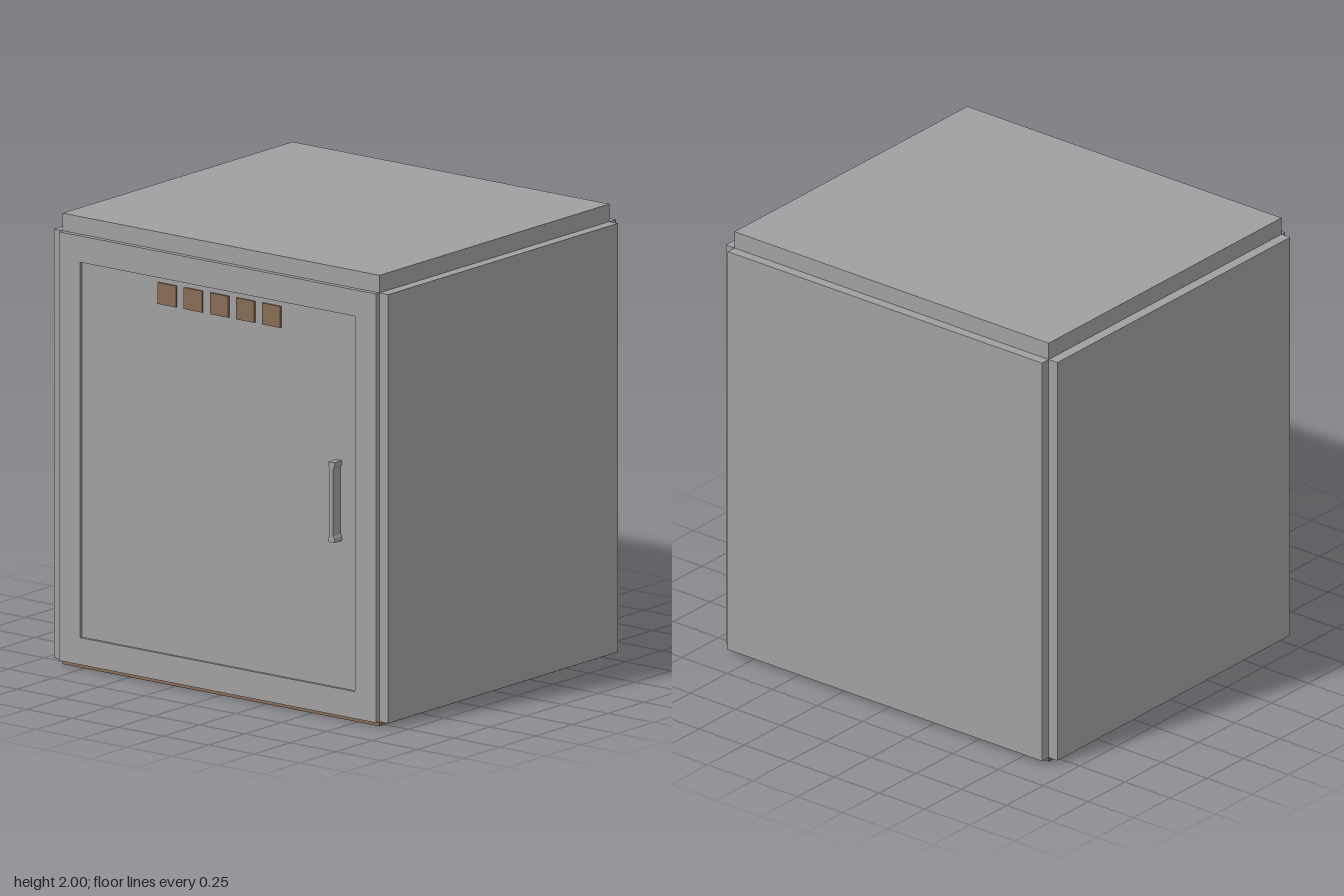
import * as THREE from 'three';

export function createModel() {
  const model = new THREE.Group();
  model.name = 'cabinet';

  const grey = new THREE.MeshStandardMaterial({ color: 0xa0a0a2 });
  grey.name = 'grey metal';
  const brown = new THREE.MeshStandardMaterial({ color: 0x866c55 });
  brown.name = 'brown';

  // Box given by its minimum and maximum corners
  const box = (name, material, [x0, y0, z0], [x1, y1, z1], parent = model) => {
    const mesh = new THREE.Mesh(new THREE.BoxGeometry(x1 - x0, y1 - y0, z1 - z0), material);
    mesh.position.set((x0 + x1) / 2, (y0 + y1) / 2, (z0 + z1) / 2);
    mesh.name = name;
    parent.add(mesh);
    return mesh;
  };

  const W = 0.87, OUT = 0.918, BACK = -0.802, FRONT = 0.786;
  const LOW = 0.02, HIGH = 1.922;

  // Core block, which rises above the panels as the top slab
  box('body', grey, [-W, LOW, BACK], [W, 2, FRONT]);
  box('base', brown, [-W, 0, BACK], [W, LOW, FRONT]);

  // Outer panels with open corner notches between them
  box('leftPanel', grey, [W, LOW, BACK], [OUT, HIGH, FRONT]);
  box('rightPanel', grey, [-OUT, LOW, BACK], [-W, HIGH, FRONT]);
  box('backPanel', grey, [-W, LOW, -0.848], [W, HIGH, BACK]);

  // Front frame around the door opening
  const rect = (path, x0, y0, x1, y1) =>
    path.moveTo(x0, y0).lineTo(x1, y0).lineTo(x1, y1).lineTo(x0, y1).closePath();
  const outline = new THREE.Shape();
  rect(outline, -W, LOW, W, HIGH);
  const opening = new THREE.Path();
  rect(opening, -0.755, 0.14, 0.755, 1.805);
  outline.holes.push(opening);
  const frame = new THREE.Mesh(
    new THREE.ExtrudeGeometry(outline, { depth: 0.024, bevelEnabled: false }), grey);
  frame.position.z = FRONT;
  frame.name = 'frontFrame';
  model.add(frame);

  // Slightly recessed door
  box('door', grey, [-0.755, 0.14, FRONT], [0.755, 1.805, 0.798]);

  // Row of vent squares
  const vents = new THREE.Group();
  vents.name = 'vents';
  model.add(vents);
  for (let i = -2; i <= 2; i++) {
    const x = 0.005 + i * 0.143;
    box('vent', brown, [x - 0.05, 1.687, 0.798], [x + 0.05, 1.782, 0.807], vents);
  }

  // Handle: a slim bar with wider, tapering ends
  const side = [[0.016, 0.178], [0.016, 0.16], [0.01, 0.148]];
  const right = [...side, ...side.map(([x, y]) => [x, -y]).reverse()];
  const left = right.map(([x, y]) => [-x, y]).reverse();
  const handleShape = new THREE.Shape([...left, ...right].map(([x, y]) => new THREE.Vector2(x, y)));
  const handle = new THREE.Mesh(
    new THREE.ExtrudeGeometry(handleShape, { depth: 0.052, bevelEnabled: false }), grey);
  handle.position.set(0.657, 0.972, 0.798);
  handle.name = 'handle';
  model.add(handle);

  return model;
}
